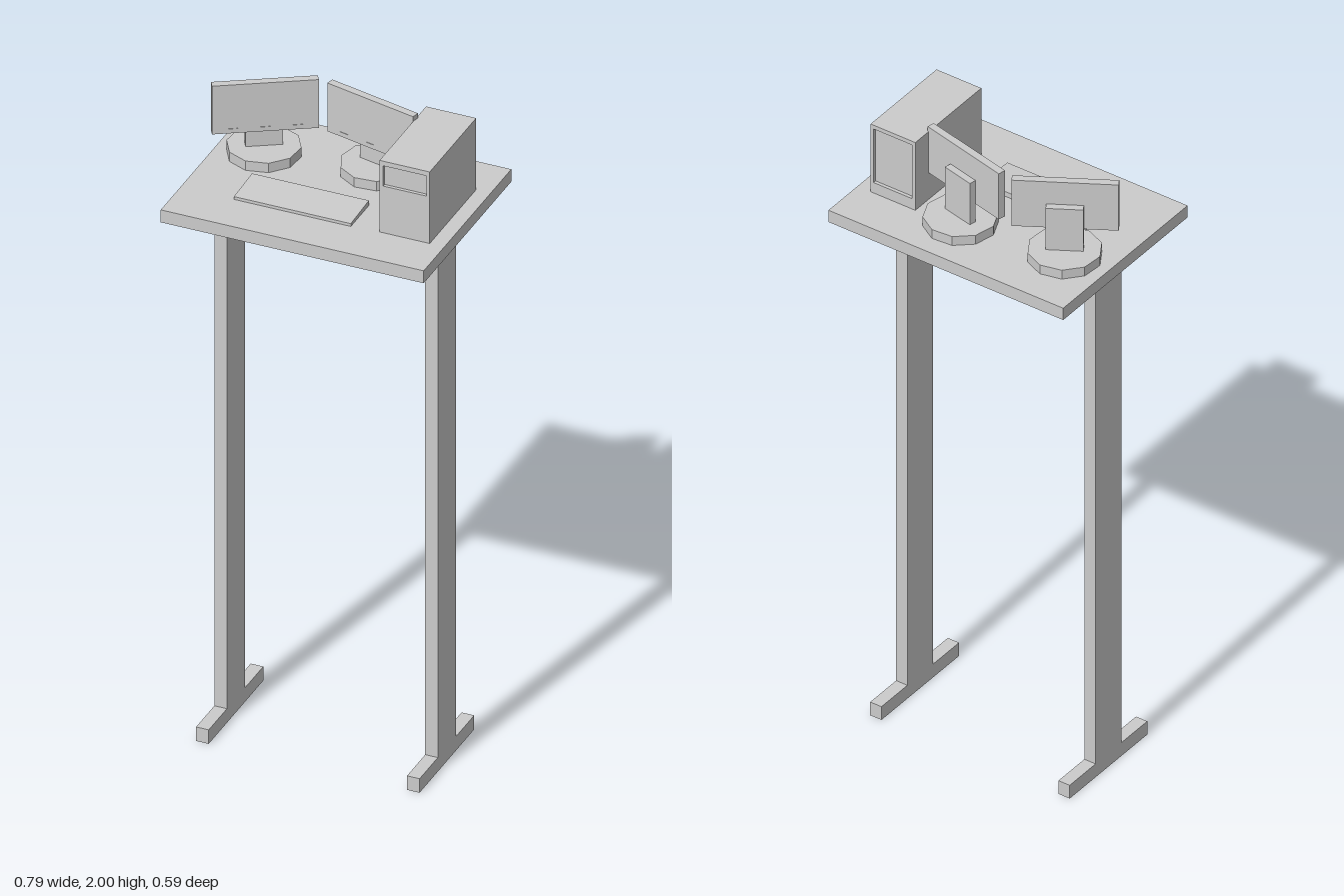
import * as THREE from 'three';

const material = new THREE.MeshStandardMaterial({ color: 0xcccccc, flatShading: true });

function add(parent, name, geometry, x = 0, y = 0, z = 0) {
  const mesh = new THREE.Mesh(geometry, material);
  mesh.name = name;
  mesh.position.set(x, y, z);
  parent.add(mesh);
  return mesh;
}

// Box given by its lower and upper limits on each axis
function box(parent, name, [x0, x1], [y0, y1], [z0, z1]) {
  return add(parent, name, new THREE.BoxGeometry(x1 - x0, y1 - y0, z1 - z0),
    (x0 + x1) / 2, (y0 + y1) / 2, (z0 + z1) / 2);
}

function rectangle(PathType, x0, x1, y0, y1) {
  return new PathType([[x0, y0], [x1, y0], [x1, y1], [x0, y1]].map(p => new THREE.Vector2(...p)));
}

// Flat frame with a rectangular opening
function frame(parent, name, outer, opening, z, depth) {
  const shape = rectangle(THREE.Shape, ...outer);
  shape.holes.push(rectangle(THREE.Path, ...opening));
  return add(parent, name, new THREE.ExtrudeGeometry(shape, { depth, bevelEnabled: false }), 0, 0, z);
}

const TOP = 1.755; // upper face of the desk

function createMonitor(name, x, z, turn) {
  const monitor = new THREE.Group();
  monitor.name = name;
  monitor.position.set(x, TOP, z);
  monitor.rotation.y = turn;
  add(monitor, 'monitorBase', new THREE.CylinderGeometry(0.105, 0.105, 0.03, 10), 0, 0.015, -0.021);
  box(monitor, 'monitorStand', [-0.052, 0.052], [0.03, 0.17], [-0.033, -0.0115]);
  box(monitor, 'screen', [-0.148, 0.148], [0.09, 0.245], [-0.0115, 0.0115]);
  // Row of thin buttons along the lower edge
  for (const bx of [-0.09, 0, 0.09]) {
    box(monitor, 'screenButton', [bx - 0.014, bx + 0.014], [0.1, 0.105], [0.0115, 0.013]);
  }
  return monitor;
}

function createTower() {
  const tower = new THREE.Group();
  tower.name = 'computerTower';
  box(tower, 'towerCase', [0.201, 0.352], [TOP, 1.985], [-0.147, 0.146]);
  const outer = [0.201, 0.352, TOP, 1.985];
  frame(tower, 'towerFrontBezel', outer, [0.212, 0.342, 1.905, 1.97], 0.146, 0.01);
  frame(tower, 'towerBackBezel', outer, [0.212, 0.342, 1.79, 1.972], -0.157, 0.01);
  return tower;
}

export function createModel() {
  const model = new THREE.Group();
  model.name = 'computerDesk';

  box(model, 'deskTop', [-0.396, 0.396], [1.715, TOP], [-0.295, 0.295]);

  // Tall legs on long feet
  for (const [side, x] of [['left', 0.315], ['right', -0.32]]) {
    box(model, side + 'Leg', [x - 0.019, x + 0.019], [0.045, 1.715], [-0.061, 0.061]);
    box(model, side + 'Foot', [x - 0.019, x + 0.019], [0, 0.045], [-0.184, 0.184]);
  }

  model.add(
    createMonitor('rightMonitor', -0.249, -0.078, 0.54),
    createMonitor('leftMonitor', 0.059, -0.115, -0.23),
    createTower(),
  );

  // Keyboard, slightly raised at the back
  const profile = new THREE.Shape([[-0.162, 0], [-0.04, 0], [-0.04, 0.016], [-0.162, 0.009]]
    .map(p => new THREE.Vector2(...p)));
  const keyboard = new THREE.ExtrudeGeometry(profile, { depth: 0.352, bevelEnabled: false });
  keyboard.rotateY(Math.PI / 2);
  add(model, 'keyboard', keyboard, -0.235, TOP, 0);

  return model;
}
